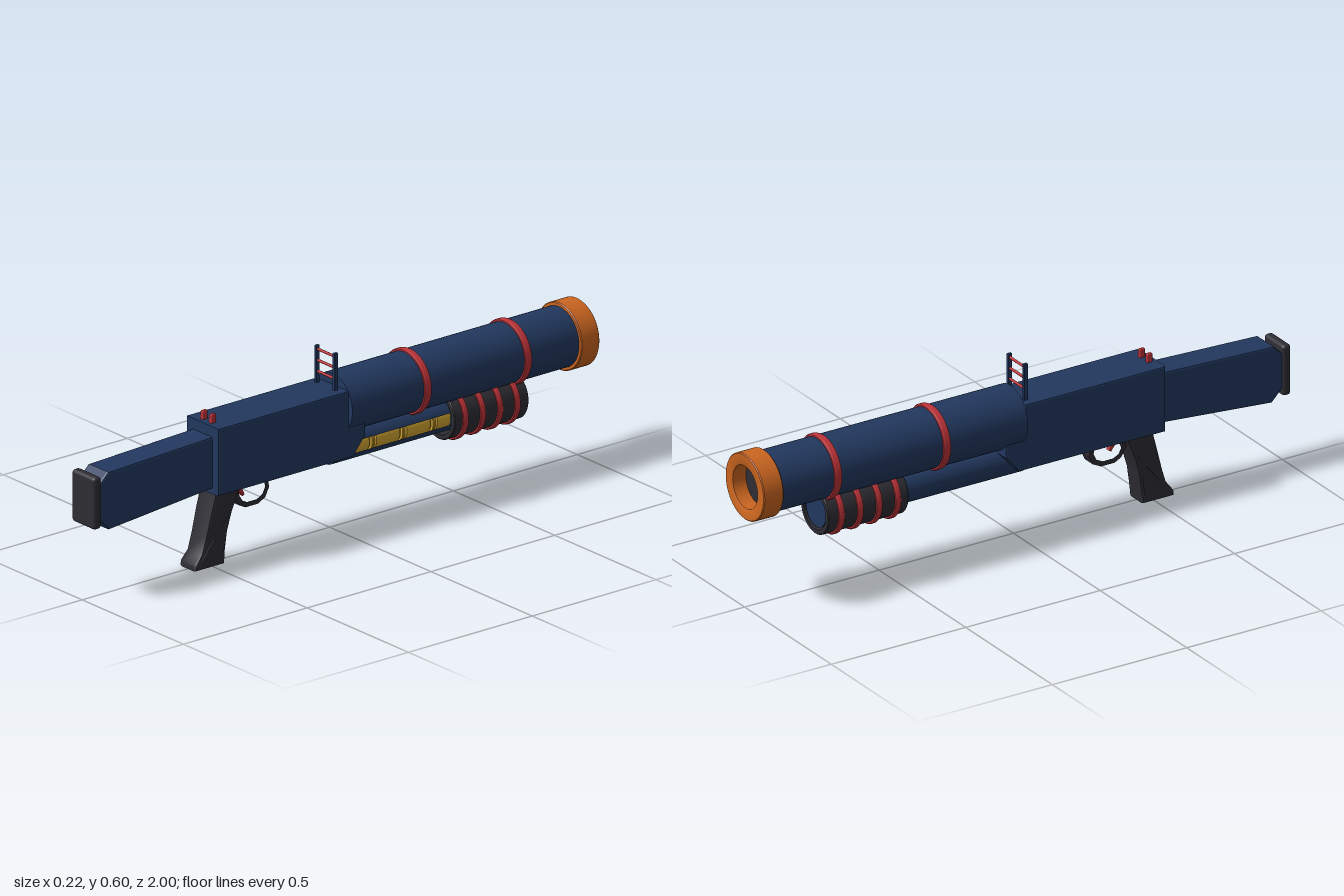
import * as THREE from 'three';
import { toCreasedNormals } from 'three/addons/utils/BufferGeometryUtils.js';
import { RoundedBoxGeometry } from 'three/addons/geometries/RoundedBoxGeometry.js';

const mat = (name, color) => {
  const m = new THREE.MeshStandardMaterial({ color });
  m.name = name;
  return m;
};

export function createModel() {
  const navy = mat('navy', 0x22385f);
  const charcoal = mat('charcoal', 0x2e2d34);
  const red = mat('red', 0xbd3338);
  const orange = mat('orange', 0xcc6620);
  const yellow = mat('yellow', 0xd6a832);

  const group = new THREE.Group();
  const add = (name, geometry, material, x = 0, y = 0, z = 0) => {
    const m = new THREE.Mesh(geometry, material);
    m.name = name;
    m.position.set(x, y, z);
    group.add(m);
    return m;
  };
  const v2 = (pts) => pts.map(([a, b]) => new THREE.Vector2(a, b));

  // Side profile given as [z, y], extruded across x and centred
  const slab = (pts, width, bevel, hole) => {
    const shape = new THREE.Shape(v2(pts));
    if (hole) shape.holes.push(new THREE.Path(v2(hole)));
    const g = new THREE.ExtrudeGeometry(shape, {
      depth: width - 2 * bevel, bevelEnabled: bevel > 0, bevelThickness: bevel,
      bevelSize: bevel, bevelOffset: -bevel, bevelSegments: 2,
    });
    g.translate(0, 0, bevel - width / 2);
    return g.rotateY(-Math.PI / 2);
  };
  // Turned part along z; points are [radius, z], z rising on outer walls
  const turned = (pts, start = 0, length = Math.PI * 2) =>
    toCreasedNormals(new THREE.LatheGeometry(v2(pts), 48, start, length).rotateX(Math.PI / 2), 0.6);
  const band = (r, inner, w) => turned([
    [inner, -w / 2], [r - 0.003, -w / 2], [r, -w / 4], [r, w / 4], [r - 0.003, w / 2], [inner, w / 2],
  ]);

  // Receiver with slanted lower nose
  add('receiver', slab([
    [0.515, 0.255], [0.515, 0.481], [-0.08, 0.481], [-0.08, 0.315], [-0.03, 0.255],
  ].reverse(), 0.16, 0.006), navy);

  // Stock and butt pad
  add('stock', slab([
    [0.5, 0.273], [0.93, 0.236], [0.975, 0.282], [0.975, 0.392], [0.935, 0.43], [0.5, 0.446],
  ], 0.1, 0.007), navy);
  add('buttPad', new RoundedBoxGeometry(0.114, 0.175, 0.032, 3, 0.012), charcoal, 0, 0.338, 0.982);

  // Pistol grip, pinched in above the flared heel
  const grip = slab([
    [0.385, 0.27], [0.397, 0.235], [0.425, 0.17], [0.442, 0.11], [0.45, 0.05], [0.455, 0.022], [0.457, 0.004],
    [0.573, 0.004], [0.572, 0.022], [0.547, 0.055], [0.53, 0.11], [0.512, 0.18], [0.497, 0.235], [0.49, 0.27],
  ].reverse(), 0.084, 0.01);
  const p = grip.attributes.position;
  for (let i = 0; i < p.count; i++) {
    const pinch = THREE.MathUtils.clamp(1 - Math.abs(p.getY(i) - 0.06) / 0.15, 0, 1);
    const k = p.getY(i) < 0.035 ? 1 : 1 - 0.1 * pinch;
    p.setX(i, p.getX(i) * k);
  }
  add('grip', toCreasedNormals(grip, 0.7), charcoal);

  // Trigger guard and trigger
  add('triggerGuard', slab([
    [0.41, 0.26], [0.402, 0.205], [0.385, 0.178], [0.36, 0.165], [0.31, 0.165],
    [0.28, 0.18], [0.265, 0.21], [0.268, 0.26],
  ], 0.05, 0.002, [
    [0.395, 0.25], [0.387, 0.21], [0.375, 0.19], [0.355, 0.18], [0.315, 0.18],
    [0.291, 0.192], [0.28, 0.214], [0.283, 0.25],
  ]), charcoal);
  add('trigger', slab([
    [0.385, 0.26], [0.378, 0.225], [0.358, 0.198], [0.35, 0.203], [0.362, 0.228], [0.364, 0.26],
  ], 0.018, 0.002), red);

  // Barrel, bands and muzzle
  const by = 0.418;
  add('barrel', turned([[0, -0.945], [0.1, -0.945], [0.1, -0.01], [0, -0.01]]), navy, 0, by);
  for (const z of [-0.313, -0.718]) add('barrelBand', band(0.108, 0.09, 0.026), red, 0, by, z);
  add('muzzleRing', turned([
    [0.072, -0.945], [0.072, -0.998], [0.075, -1], [0.109, -1], [0.112, -0.997],
    [0.112, -0.929], [0.109, -0.926], [0.09, -0.926],
  ]), orange, 0, by);
  add('bore', new THREE.CircleGeometry(0.08, 40).rotateY(Math.PI), charcoal, 0, by, -0.949);

  // Loading tube with a slot on the left side showing the shells
  const ty = 0.272;
  const tube = (z0, z1, start, length) => turned([
    [0.048, z1], [0.048, z0], [0.053, z0], [0.053, z1], [0.048, z1],
  ], start, length);
  const half = 0.38;
  add('tubeRear', turned([[0, -0.05], [0.053, -0.05], [0.053, 0.015], [0, 0.015]]), navy, 0, ty);
  add('tubeSlotted', tube(-0.45, -0.05, Math.PI / 2 + half, Math.PI * 2 - half * 2), navy, 0, ty);
  add('tubeFront', turned([[0, -0.735], [0.057, -0.735], [0.057, -0.7], [0.053, -0.69], [0.053, -0.45], [0, -0.45]]),
    navy, 0, ty);
  for (let i = 0; i < 4; i++) {
    const z = -0.01 - i * 0.123;
    add('shell', turned([
      [0, z - 0.121], [0.04, z - 0.121], [0.047, z - 0.112], [0.047, z - 0.018],
      [0.043, z - 0.014], [0.043, z - 0.008], [0.047, z - 0.006], [0.047, z], [0, z],
    ]), yellow, 0, ty);
  }

  // Sliding fore-end with ribs
  add('foreEnd', turned([
    [0.064, -0.44], [0.064, -0.74], [0.077, -0.74], [0.08, -0.737],
    [0.08, -0.443], [0.077, -0.44], [0.064, -0.44],
  ]), charcoal, 0, ty);
  for (let i = 0; i < 4; i++) add('foreEndRib', band(0.088, 0.075, 0.02), red, 0, ty, -0.482 - i * 0.07);

  // Ladder sight and rear sight
  for (const s of [-1, 1]) {
    add('sightPost', new RoundedBoxGeometry(0.011, 0.135, 0.015, 2, 0.002), navy, s * 0.0455, 0.5375, 0.014);
    add('rearSight', new RoundedBoxGeometry(0.013, 0.04, 0.02, 2, 0.003), red, s * 0.021, 0.49, 0.49);
  }
  for (const y of [0.518, 0.555, 0.592]) {
    add('sightRung', new THREE.CylinderGeometry(0.0045, 0.0045, 0.086, 12).rotateZ(Math.PI / 2), red, 0, y, 0.014);
  }
  return group;
}
